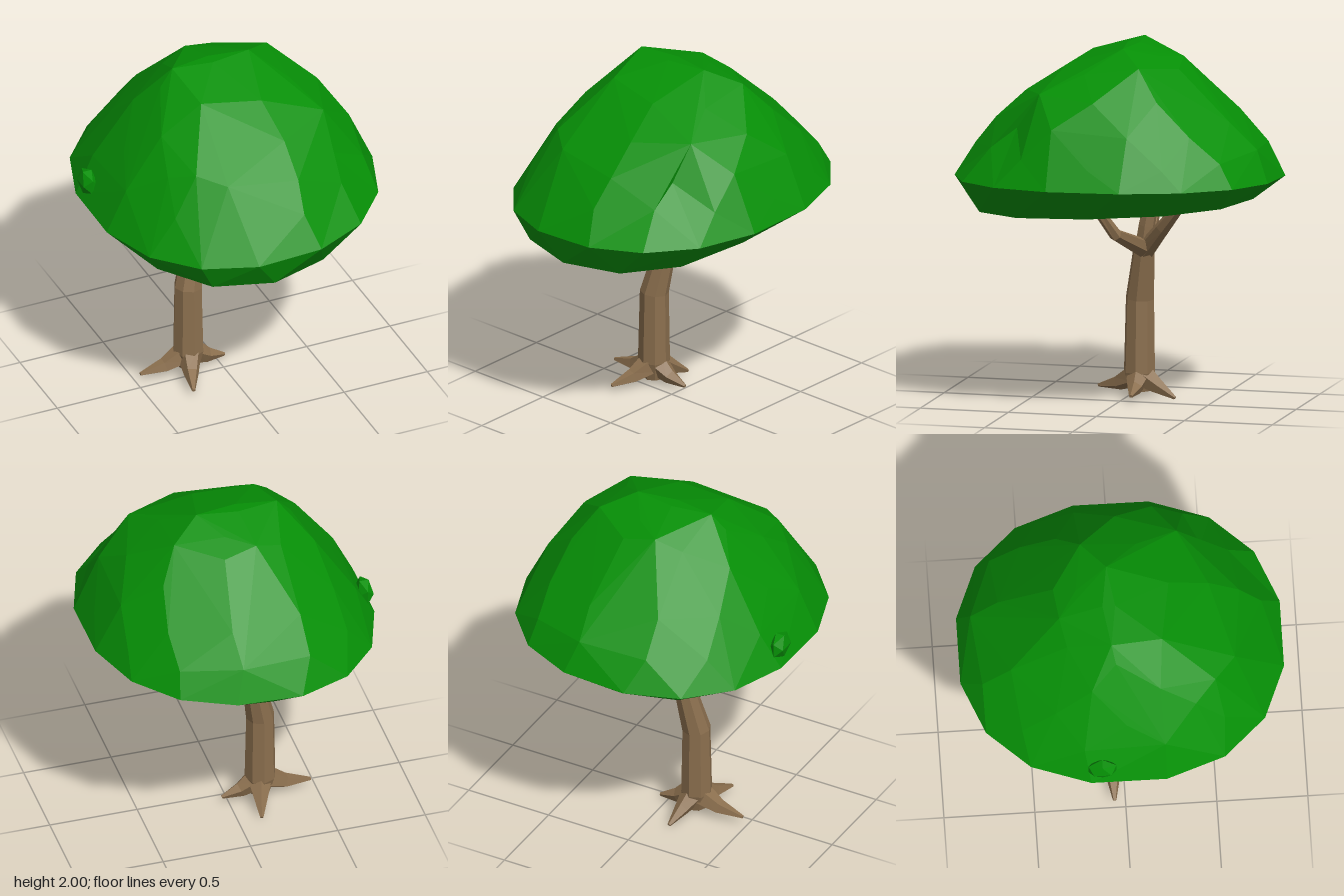
import * as THREE from 'three';
import { ConvexGeometry } from 'three/addons/geometries/ConvexGeometry.js';

const leaf = new THREE.MeshStandardMaterial({ color: 0x069006, flatShading: true });
const bark = new THREE.MeshStandardMaterial({ color: 0x8b6f4e, flatShading: true });

// Faceted limb lofted along a path of [x, y, z, radius]
function limb(name, path, sides = 6) {
  const pts = path.map(p => new THREE.Vector3(p[0], p[1], p[2]));
  const last = pts.length - 1;
  const whole = pts[last].clone().sub(pts[0]).normalize();
  const ref = Math.abs(whole.z) > 0.6 ? new THREE.Vector3(1, 0, 0) : new THREE.Vector3(0, 0, 1);
  const pos = [], index = [];
  pts.forEach((p, i) => {
    const t = pts[Math.min(i + 1, last)].clone().sub(pts[Math.max(i - 1, 0)]).normalize();
    const u = ref.clone().cross(t).normalize();
    const v = t.clone().cross(u);
    for (let j = 0; j < sides; j++) {
      const a = (j / sides) * Math.PI * 2, r = path[i][3];
      const q = p.clone().addScaledVector(u, Math.cos(a) * r).addScaledVector(v, Math.sin(a) * r);
      pos.push(q.x, q.y, q.z);
      if (i < last) {
        const k = (j + 1) % sides, A = i * sides, B = A + sides;
        index.push(A + j, A + k, B + k, A + j, B + k, B + j);
      }
    }
  });
  // end caps
  for (let j = 1; j < sides - 1; j++) {
    const e = last * sides;
    index.push(0, j + 1, j, e, e + j, e + j + 1);
  }
  const g = new THREE.BufferGeometry();
  g.setAttribute('position', new THREE.Float32BufferAttribute(pos, 3));
  g.setIndex(index);
  const flat = g.toNonIndexed();
  flat.computeVertexNormals();
  const mesh = new THREE.Mesh(flat, bark);
  mesh.name = name;
  return mesh;
}

// Domed crown: hull around uneven rings [y, xMin, xMax, zMin, zMax, count, tiltX, tiltZ]
function crown() {
  const rings = [
    [1.11, -0.68, 0.56, -0.74, 0.82, 12, 0.0, -0.045],
    [1.265, -0.81, 0.815, -0.905, 0.905, 16, 0.035, -0.015],
    [1.44, -0.7, 0.75, -0.82, 0.79, 13, 0, 0],
    [1.6, -0.6, 0.68, -0.67, 0.67, 11, 0, 0],
    [1.75, -0.49, 0.56, -0.49, 0.5, 9, 0, 0],
    [1.9, -0.36, 0.38, -0.37, 0.28, 7, 0, 0],
    [2.0, -0.28, 0.18, -0.1, -0.03, 4, 0, 0],
  ];
  const soft = c => Math.sign(c) * Math.pow(Math.abs(c), 0.9);
  // knobbly corners standing out of the dome
  const pts = [[-0.39, 1.66, 0.5], [0.07, 1.95, -0.24], [-0.08, 1.93, -0.34]]
    .map(p => new THREE.Vector3(...p));
  rings.forEach(([y, x0, x1, z0, z1, n, tx, tz], r) => {
    for (let i = 0; i < n; i++) {
      const a = ((i + (r % 2) * 0.5) / n) * Math.PI * 2;
      const c = soft(Math.cos(a)), s = soft(Math.sin(a));
      const wobble = r > 1 && r < 6 ? 0.025 * Math.sin(i * 4.7 + r * 2.3) : 0;
      pts.push(new THREE.Vector3(
        (x0 + x1) / 2 + c * (x1 - x0) / 2,
        y + tx * c + tz * s + wobble,
        (z0 + z1) / 2 + s * (z1 - z0) / 2));
    }
  });
  const g = new ConvexGeometry(pts);

  // shallow dent at the front left
  const pos = g.getAttribute('position');
  const dent = new THREE.Vector3(0.47, 1.53, 0.54), p = new THREE.Vector3();
  for (let i = 0; i < pos.count; i++) {
    p.fromBufferAttribute(pos, i);
    const pull = 1 - 0.12 * Math.max(0, 1 - p.distanceTo(dent) / 0.3);
    pos.setXYZ(i, p.x * pull, p.y, p.z * pull);
  }
  g.computeVertexNormals();
  const mesh = new THREE.Mesh(g, leaf);
  mesh.name = 'crown';
  return mesh;
}

// Small faceted clump of leaves
function clump(name, center, size, detail) {
  const mesh = new THREE.Mesh(new THREE.IcosahedronGeometry(1, detail), leaf);
  mesh.position.set(...center);
  mesh.scale.set(...size);
  mesh.name = name;
  return mesh;
}

export function createModel() {
  const tree = new THREE.Group();
  tree.name = 'tree';

  // Trunk with its slight lean
  tree.add(limb('trunk', [
    [-0.18, 0.035, -0.06, 0.06], [-0.185, 0.14, -0.06, 0.088],
    [-0.185, 0.55, -0.063, 0.08], [-0.13, 0.83, -0.1, 0.06],
  ], 8));

  // Spreading roots
  const tips = [[-0.48, 0.05, -0.06], [-0.27, 0.04, 0.2], [0.04, 0.04, -0.07], [-0.13, 0.012, -0.28]];
  const roots = new THREE.Group();
  roots.name = 'roots';
  for (const [x, y, z] of tips) {
    const at = (f, h, r) => [-0.18 + (x + 0.18) * f, h, -0.06 + (z + 0.06) * f, r];
    roots.add(limb('root', [at(0.1, 0.12, 0.07), at(0.5, 0.068, 0.043), at(0.98, y, 0.01)], 5));
  }
  tree.add(roots);

  // Branches from the fork
  const fork = [-0.13, 0.82, -0.1, 0.055];
  const branches = new THREE.Group();
  branches.name = 'branches';
  branches.add(
    limb('rightBranch', [fork, [-0.46, 1.04, -0.08, 0.033], [-0.54, 1.17, -0.07, 0.025]]),
    limb('leftBranch', [[-0.12, 0.84, -0.1, 0.055], [0.28, 0.98, -0.05, 0.035], [0.37, 1.16, 0.05, 0.026]]),
    limb('backBranch', [fork, [-0.01, 0.98, -0.24, 0.042], [0.1, 1.18, -0.41, 0.027]]),
    limb('middleBranch', [fork, [-0.12, 0.97, -0.12, 0.047], [-0.12, 1.14, -0.15, 0.04]])
  );
  tree.add(branches);

  // Foliage
  tree.add(
    crown(),
    clump('lowerClump', [-0.05, 1.17, 0.05], [0.29, 0.14, 0.28], 1),
    clump('branchClump', [-0.52, 1.15, -0.1], [0.13, 0.06, 0.1], 0),
    clump('sideClump', [-0.755, 1.34, -0.145], [0.05, 0.08, 0.09], 0)
  );
  return tree;
}
